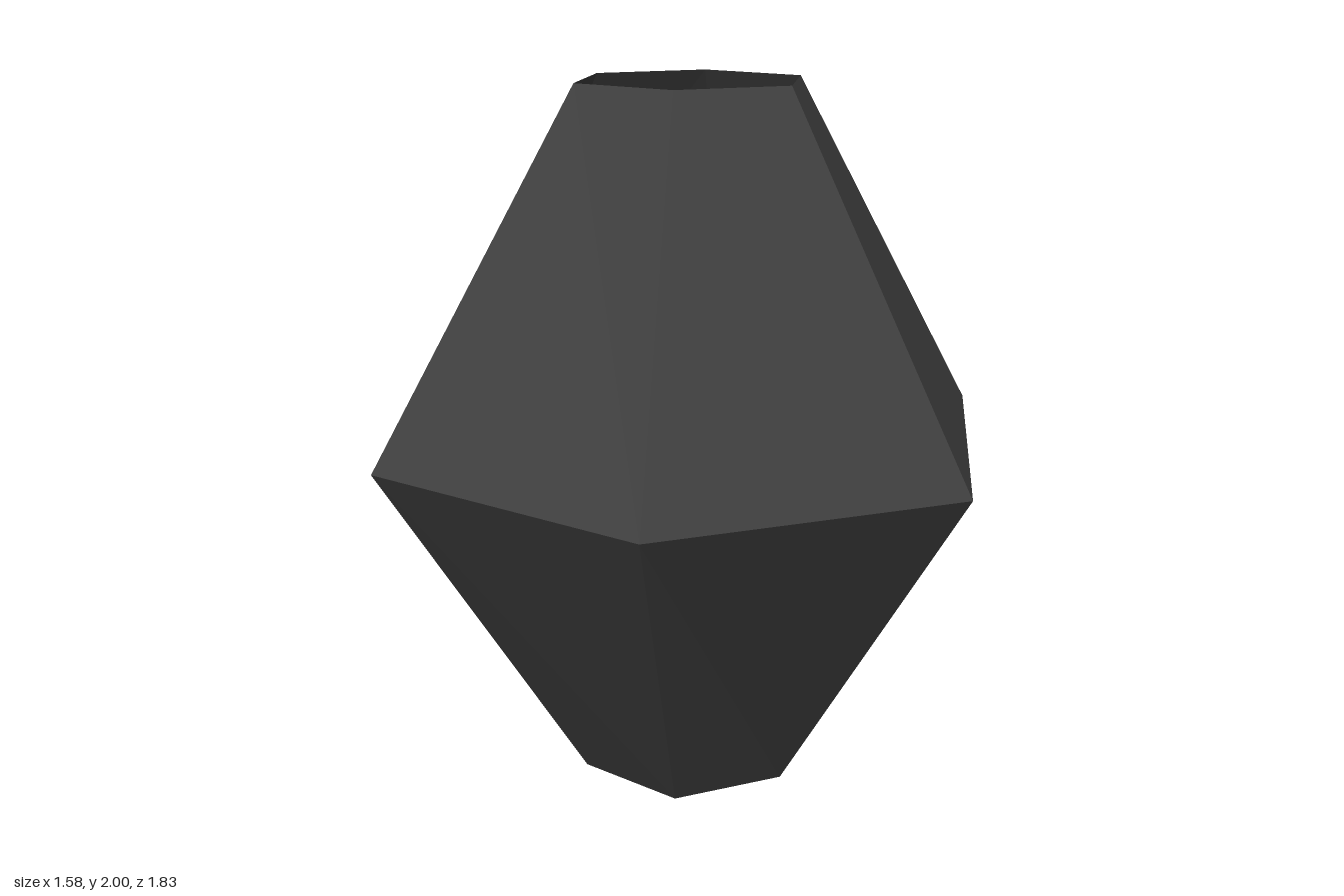
import * as THREE from 'three';

const SIDES = 6;

export function createModel() {
  const group = new THREE.Group();
  group.name = 'facetedVessel';

  const charcoal = new THREE.MeshStandardMaterial({
    name: 'charcoal', color: 0x404040, side: THREE.DoubleSide, flatShading: true,
  });

  // Hollow six-sided wall, open at the top and widest at mid height
  const profile = [[0.333, 0], [1, 1], [0.333, 2]].map(([r, y]) => new THREE.Vector2(r, y));
  const wall = new THREE.LatheGeometry(profile, SIDES);
  const pos = wall.attributes.position;
  for (let i = 0; i < pos.count; i++) {
    if (Math.abs(pos.getY(i) - 1) > 0.01) continue;
    // Slightly narrowed waist: front and back corners at 0.915, side corners at z = 0.5
    pos.setX(i, pos.getX(i) * 0.912);
    if (Math.abs(pos.getZ(i)) > 0.9) pos.setZ(i, Math.sign(pos.getZ(i)) * 0.915);
  }
  const wallFlat = wall.toNonIndexed();
  wallFlat.computeVertexNormals();
  const wallMesh = new THREE.Mesh(wallFlat, charcoal);
  wallMesh.name = 'wall';
  group.add(wallMesh);

  // Closed hexagonal base, facing down
  const base = new THREE.CircleGeometry(0.333, SIDES, Math.PI / 2);
  base.rotateX(Math.PI / 2);
  const baseMesh = new THREE.Mesh(base, charcoal);
  baseMesh.name = 'base';
  group.add(baseMesh);

  return group;
}
